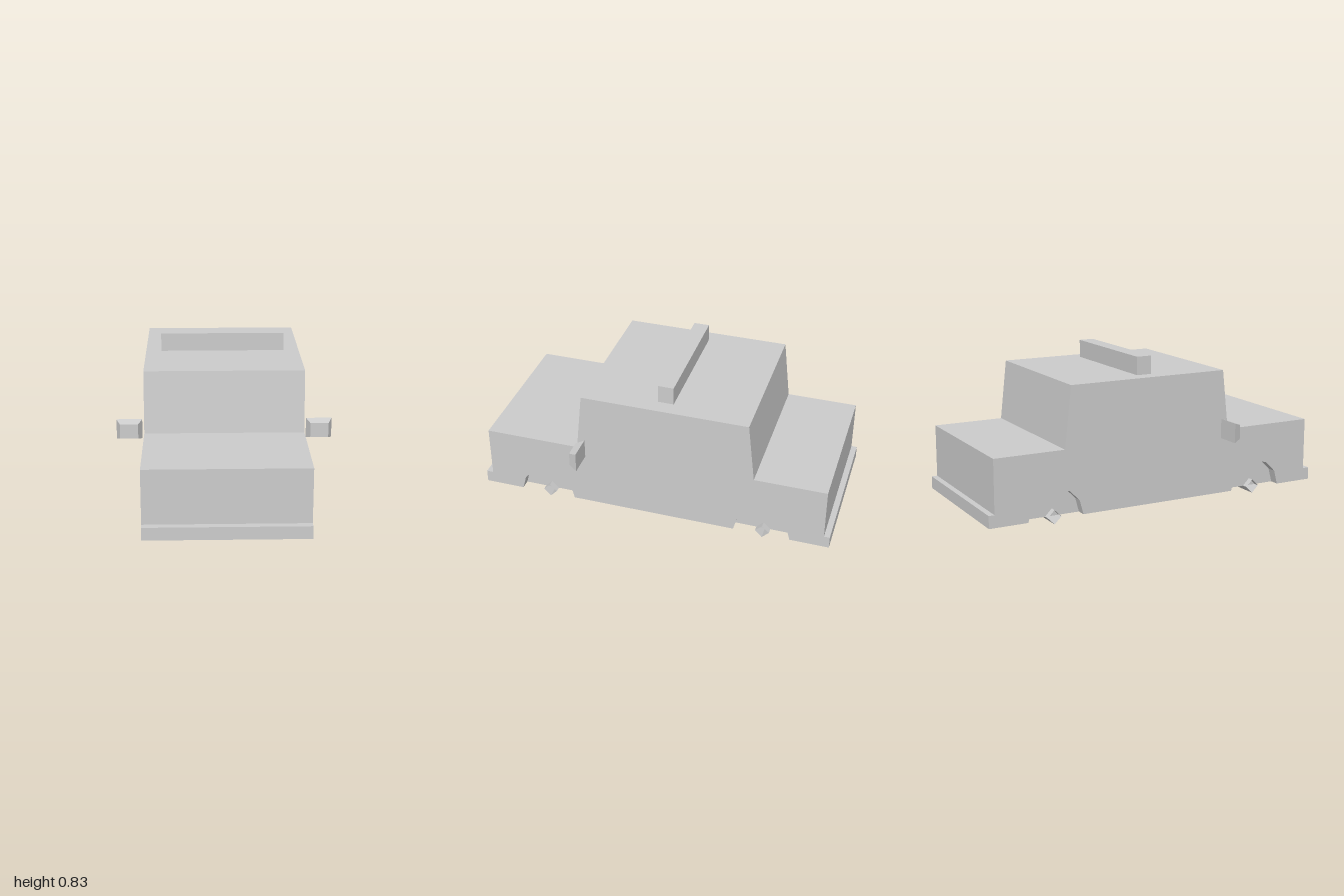
import * as THREE from 'three';

const HALF_WIDTH = 0.428, ARCH_DEPTH = 0.055, FLOOR = 0.038;
const WHEELS = [0.62, -0.625];

// Side outline as [z, y], with optional six-sided wheel arches along the floor
function sideProfile(withArches) {
  const pts = [
    [1, FLOOR], [1, 0.107], [0.962, 0.107], [0.962, 0.4], [0.43, 0.4], [0.393, 0.735],
    [-0.532, 0.735], [-0.57, 0.4], [-0.968, 0.4], [-0.968, 0.107], [-1, 0.107], [-1, FLOOR],
  ];
  if (withArches) {
    for (const z of [...WHEELS].reverse()) {
      for (let i = 0; i <= 6; i++) {
        const a = Math.PI * (1 - i / 6);
        pts.push([z + 0.158 * Math.cos(a), FLOOR + 0.158 * Math.sin(a)]);
      }
    }
  }
  return new THREE.Shape(pts.map(([z, y]) => new THREE.Vector2(z, y)));
}

// Extrudes a side outline across the car between two x positions
function slab(shape, x0, x1) {
  const g = new THREE.ExtrudeGeometry(shape, { depth: x1 - x0, bevelEnabled: false });
  return g.rotateY(-Math.PI / 2).translate(x1, 0, 0);
}

export function createModel() {
  const group = new THREE.Group();
  const mat = new THREE.MeshStandardMaterial({ color: 0xcccccc, flatShading: true });
  const openMat = mat.clone();
  openMat.side = THREE.DoubleSide;

  function add(name, geometry, x = 0, y = 0, z = 0, material = mat) {
    const mesh = new THREE.Mesh(geometry, material);
    mesh.name = name;
    mesh.position.set(x, y, z);
    group.add(mesh);
    return mesh;
  }

  // Body core, and outer sides cut by the wheel arches
  const inner = HALF_WIDTH - ARCH_DEPTH;
  add('bodyCore', slab(sideProfile(false), -inner, inner));
  add('leftSide', slab(sideProfile(true), inner, HALF_WIDTH));
  add('rightSide', slab(sideProfile(true), -HALF_WIDTH, -inner));

  // Bar across the roof
  add('roofLightBar', new THREE.BoxGeometry(0.686, 0.1, 0.086), 0, 0.785, -0.057);

  // Open, four-sided axles
  WHEELS.forEach((z, i) => {
    const axle = new THREE.CylinderGeometry(0.039, 0.039, 0.815, 4, 1, true).rotateZ(Math.PI / 2);
    add(i ? 'rearAxle' : 'frontAxle', axle, 0, 0.039, z, openMat);
  });

  // Wing mirrors: boxes narrowed towards the front
  for (const s of [1, -1]) {
    const g = new THREE.BoxGeometry(0.138, 0.109, 0.045);
    const p = g.attributes.position;
    for (let i = 0; i < p.count; i++) {
      if (p.getZ(i) > 0) p.setXY(i, p.getX(i) * 0.7, p.getY(i) * 0.72);
    }
    g.computeVertexNormals();
    add(s > 0 ? 'leftMirror' : 'rightMirror', g, s * 0.509, 0.41, 0.402);
  }
  return group;
}
